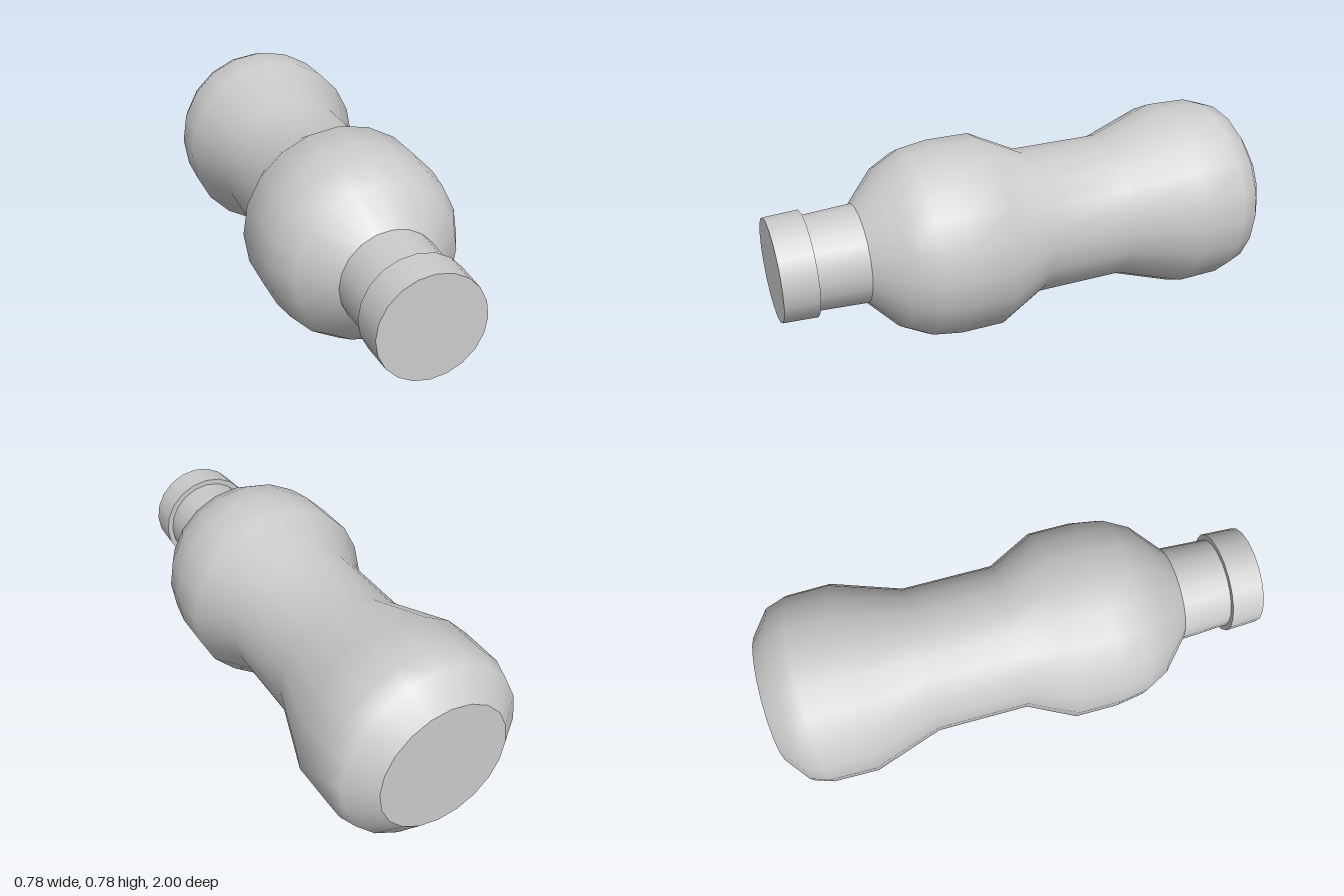
import * as THREE from 'three';

const SIDES = 20;
const RADIUS = 0.388;

export function createModel() {
  const model = new THREE.Group();
  model.name = 'bottle';
  const material = new THREE.MeshStandardMaterial({ color: 0xcccccc });

  // Each section is a [radius, z] profile from back to front, turned about the z axis;
  // separate sections keep a sharp edge between them.
  function addTurnedPart(name, sections) {
    const part = new THREE.Group();
    part.name = name;
    for (const section of sections) {
      const points = section.map(([r, z]) => new THREE.Vector2(r, z));
      const geometry = new THREE.LatheGeometry(points, SIDES);
      geometry.rotateX(Math.PI / 2);
      const mesh = new THREE.Mesh(geometry, material);
      mesh.name = name;
      part.add(mesh);
    }
    part.position.y = RADIUS;
    model.add(part);
  }

  // Flat base
  addTurnedPart('base', [[[0, -1], [0.26, -1]]]);

  // Rounded body with a narrow grip in the middle
  addTurnedPart('body', [[
    [0.26, -1], [0.36, -0.92], [0.385, -0.845], [RADIUS, -0.665],
    [0.297, -0.39], [0.297, -0.02],
    [RADIUS, 0.165], [RADIUS, 0.34], [0.37, 0.455], [0.318, 0.555], [0.195, 0.67],
  ]]);

  // Neck
  addTurnedPart('neck', [[[0.195, 0.67], [0.184, 0.87]]]);

  // Cap: rear lip, side and flat front
  addTurnedPart('cap', [
    [[0.18, 0.868], [0.207, 0.868]],
    [[0.207, 0.868], [0.201, 1]],
    [[0.201, 1], [0, 1]],
  ]);

  return model;
}
